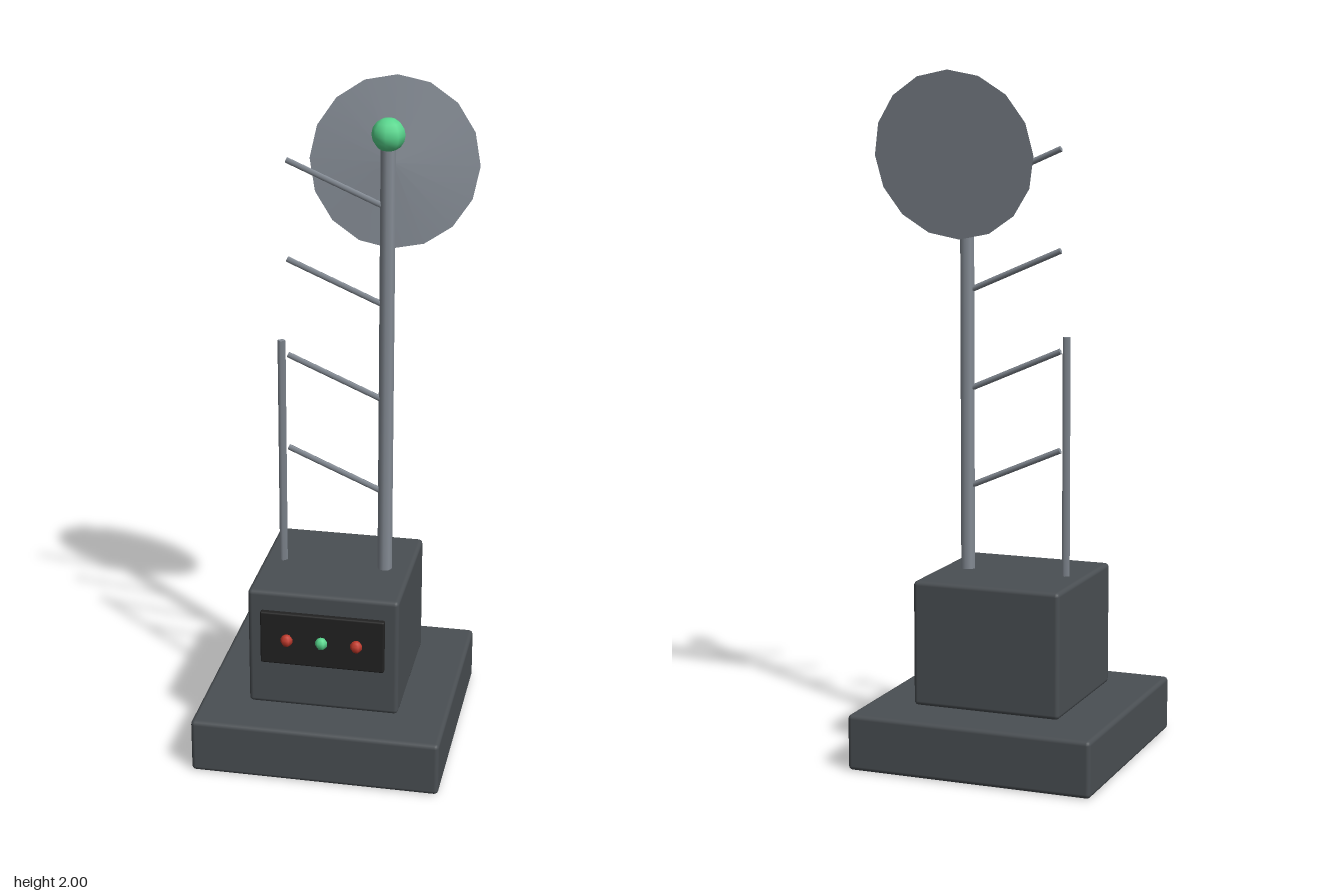
import * as THREE from 'three';
import { RoundedBoxGeometry } from 'three/addons/geometries/RoundedBoxGeometry.js';

const material = (name, color) => {
  const m = new THREE.MeshStandardMaterial({ color });
  m.name = name;
  return m;
};

export function createModel() {
  const model = new THREE.Group();
  model.name = 'signalMast';

  const casing = material('dark grey casing', 0x4a4f53);
  const metal = material('steel grey', 0x858c95);
  const black = material('panel black', 0x222222);
  const red = material('lamp red', 0xc0392b);
  const green = material('lamp green', 0x58d68d);

  const add = (name, geometry, mat, x, y, z) => {
    const mesh = new THREE.Mesh(geometry, mat);
    mesh.name = name;
    mesh.position.set(x, y, z);
    model.add(mesh);
    return mesh;
  };

  // Straight rod between two points
  const rod = (name, from, to, radius, sides) => {
    const a = new THREE.Vector3(...from);
    const b = new THREE.Vector3(...to);
    const dir = b.clone().sub(a);
    const mid = a.clone().add(b).multiplyScalar(0.5);
    const mesh = add(name, new THREE.CylinderGeometry(radius, radius, dir.length(), sides), metal, mid.x, mid.y, mid.z);
    mesh.quaternion.setFromUnitVectors(new THREE.Vector3(0, 1, 0), dir.normalize());
    return mesh;
  };

  // Plinth, cabinet and control panel
  const cx = -0.011;
  add('base', new RoundedBoxGeometry(0.74, 0.165, 0.74, 2, 0.013), casing, cx, 0.0825, 0);
  add('cabinet', new RoundedBoxGeometry(0.45, 0.37, 0.45, 2, 0.013), casing, cx, 0.355, 0);
  add('controlPanel', new RoundedBoxGeometry(0.37, 0.166, 0.04, 2, 0.005), black, cx, 0.397, 0.221);

  // Indicator lamps
  [red, green, red].forEach((mat, i) => {
    add('indicatorLamp', new THREE.SphereGeometry(0.019, 6, 5), mat, cx + (i - 1) * 0.104, 0.397, 0.247);
  });

  // Mast with its beacon
  const mx = 0.133;
  rod('mast', [mx, 0.53, 0], [mx, 1.86, 0], 0.022, 8);
  add('beacon', new THREE.SphereGeometry(0.048, 8, 8), green, mx, 1.865, 0);

  // Sloping side arms
  for (let i = 0; i < 4; i++) {
    const y = 0.79 + i * 0.29;
    rod('sideArm', [mx - 0.01, y, 0], [-0.157, y + 0.12, 0], 0.009, 5);
  }

  // Thin whip aerial
  rod('whipAerial', [-0.176, 0.53, 0], [-0.176, 1.242, 0], 0.012, 4);

  // Shallow dish, tilted slightly upward
  const dish = add('dish', new THREE.ConeGeometry(0.245, 0.02, 16), metal, mx, 1.762, -0.094);
  dish.rotation.x = THREE.MathUtils.degToRad(80);

  return model;
}
